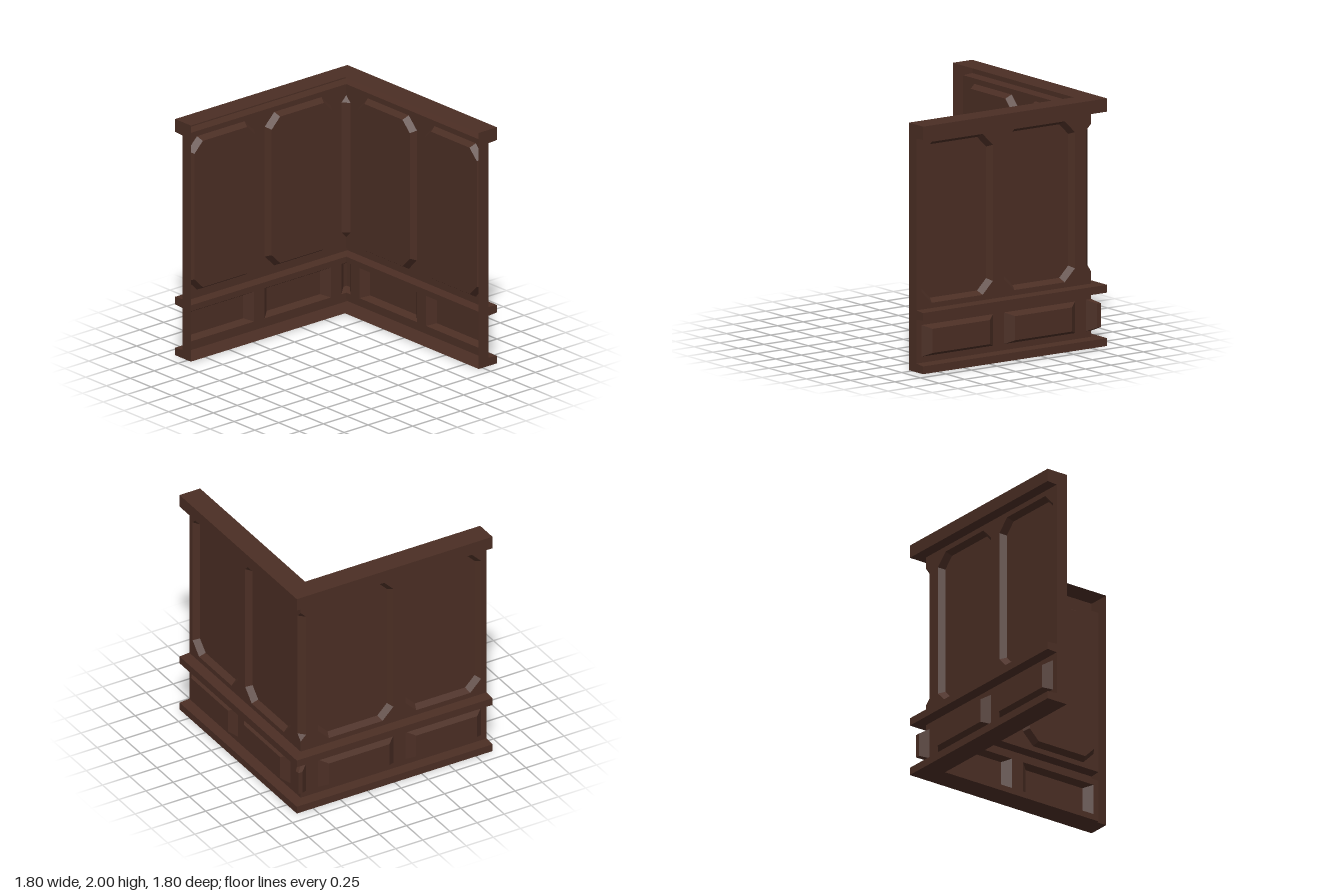
import * as THREE from 'three';

// Wall coordinates: u runs along a wall from its free end to the corner,
// y is up, d is the distance outward. The two walls mirror each other at u = d.
const END = -0.901, FACE = 0.811, INNER = 0.711, OUTER = 0.901;
const SUNK = 0.761, RAISED = 0.865;
const EDGE = 0.761, MID = (EDGE + FACE) / 2; // panels that wrap round the corner

// The wall is a folded sheet, open on the inner side: mouldings are outward folds
const MOULDINGS = {
  baseMoulding: [[INNER, 0], [OUTER, 0], [OUTER, 0.063], [FACE, 0.07]],
  middleRail: [[FACE, 0.425], [OUTER, 0.431], [OUTER, 0.494], [FACE, 0.5]],
  topMoulding: [[FACE, 1.887], [OUTER, 1.893], [OUTER, 2], [INNER, 2]],
};

export function createModel() {
  const wood = new THREE.MeshStandardMaterial({ color: 0x4b2e24, side: THREE.DoubleSide });
  wood.name = 'darkWood';
  const model = new THREE.Group();
  model.name = 'panelledCorner';

  for (const side of ['right', 'back']) {
    const wall = new THREE.Group();
    wall.name = side + 'Wall';
    model.add(wall);

    // Turns triangles of [u, y, d] corners into a flat-shaded mesh on this wall
    const addMesh = (name, tris) => {
      const pos = [];
      for (const t of tris) {
        const corners = side === 'right' ? t : [t[0], t[2], t[1]];
        for (const [u, y, d] of corners) pos.push(...(side === 'right' ? [d, y, -u] : [u, y, -d]));
      }
      const g = new THREE.BufferGeometry();
      g.setAttribute('position', new THREE.Float32BufferAttribute(pos, 3));
      g.computeVertexNormals();
      const mesh = new THREE.Mesh(g, wood);
      mesh.name = name;
      wall.add(mesh);
    };

    // Flat frames with panel openings, notched where the corner panels wrap round
    const spans = [[-0.85, -0.152], [-0.042, 0.652]];
    const tallHoles = spans.map(([a, b]) => octagon(a, b, 0.543, 1.843, 0.1));
    const lowHoles = spans.map(([a, b]) => rect(a, b, 0.12, 0.375));
    const onFace = ([u, y]) => [u, y, FACE];
    addMesh('upperFrame', fill([
      [END, 0.5], [FACE, 0.5], [FACE, 0.593], [EDGE, 0.643], [EDGE, 1.743],
      [FACE, 1.793], [FACE, 1.887], [END, 1.887],
    ], tallHoles, onFace));
    addMesh('lowerFrame', fill([
      [END, 0.07], [FACE, 0.07], [FACE, 0.12], [EDGE, 0.12], [EDGE, 0.375],
      [FACE, 0.375], [FACE, 0.425], [END, 0.425],
    ], lowHoles, onFace));

    // Sunken tall panels and raised low panels
    spans.forEach(([a, b], i) => {
      const tall = atDepth(tallHoles[i], FACE);
      const tallIn = atDepth(octagon(a + 0.03, b - 0.03, 0.573, 1.813, 0.088), SUNK);
      addMesh('tallPanel', [...ring(tall, tallIn, true), ...fan(tallIn)]);
      const low = atDepth(lowHoles[i], FACE);
      const lowIn = atDepth(rect(a + 0.068, b - 0.068, 0.15, 0.345), RAISED);
      addMesh('lowPanel', [...ring(low, lowIn, true), ...fan(lowIn)]);
    });

    // Chamfer on the upper corner, with pointed ends
    addMesh('cornerChamfer', [
      ...fan([[EDGE, 0.643, FACE], [FACE, 0.593, FACE], [MID, 0.643, MID]]),
      ...fan([[EDGE, 0.643, FACE], [MID, 0.643, MID], [MID, 1.743, MID], [EDGE, 1.743, FACE]]),
      ...fan([[EDGE, 1.743, FACE], [MID, 1.743, MID], [FACE, 1.793, FACE]]),
    ]);

    // Raised low panel wrapping the corner
    const wrap = atDepth([[FACE, 0.375], [EDGE, 0.375], [EDGE, 0.12], [FACE, 0.12]], FACE);
    const wrapIn = atDepth([[RAISED, 0.345], [0.828, 0.345], [0.828, 0.15], [RAISED, 0.15]], RAISED);
    addMesh('cornerLowPanel', [...ring(wrap, wrapIn, false), ...fan(wrapIn)]);

    // Mouldings swept along the wall and mitred at the corner
    for (const [name, profile] of Object.entries(MOULDINGS)) {
      const start = profile.map(([d, y]) => [END, y, d]);
      const mitre = profile.map(([d, y]) => [d, y, d]);
      addMesh(name, ring(mitre, start, false));
    }

    // Board closing the free end, following the moulded outline
    addMesh('endBoard', fill(Object.values(MOULDINGS).flat(), [], ([d, y]) => [END, y, d]));
  }
  return model;
}

const toVec2 = ([x, y]) => new THREE.Vector2(x, y);
const atDepth = (points, d) => points.map(([u, y]) => [u, y, d]);
const rect = (a, b, lo, hi) => [[a, lo], [b, lo], [b, hi], [a, hi]];

// Rectangle with cut corners, counter-clockwise
function octagon(a, b, lo, hi, c) {
  return [[a + c, lo], [b - c, lo], [b, lo + c], [b, hi - c],
    [b - c, hi], [a + c, hi], [a, hi - c], [a, lo + c]];
}

// Triangles filling a flat outline with holes, each corner placed by a rule
function fill(outline, holes, place) {
  const shape = new THREE.Shape(outline.map(toVec2));
  shape.holes = holes.map(h => new THREE.Path(h.map(toVec2)));
  const p = new THREE.ShapeGeometry(shape).toNonIndexed().getAttribute('position');
  const tris = [];
  for (let i = 0; i < p.count; i += 3) {
    tris.push([i, i + 1, i + 2].map(k => place([p.getX(k), p.getY(k)])));
  }
  return tris;
}

// Triangles filling a convex loop
function fan(p) {
  return p.slice(2).map((_, i) => [p[0], p[i + 1], p[i + 2]]);
}

// Triangles joining an outer loop to an inner one
function ring(outer, inner, closed) {
  const tris = [];
  const n = outer.length;
  for (let i = 0; i < (closed ? n : n - 1); i++) {
    const j = (i + 1) % n;
    tris.push([outer[i], outer[j], inner[j]], [outer[i], inner[j], inner[i]]);
  }
  return tris;
}
